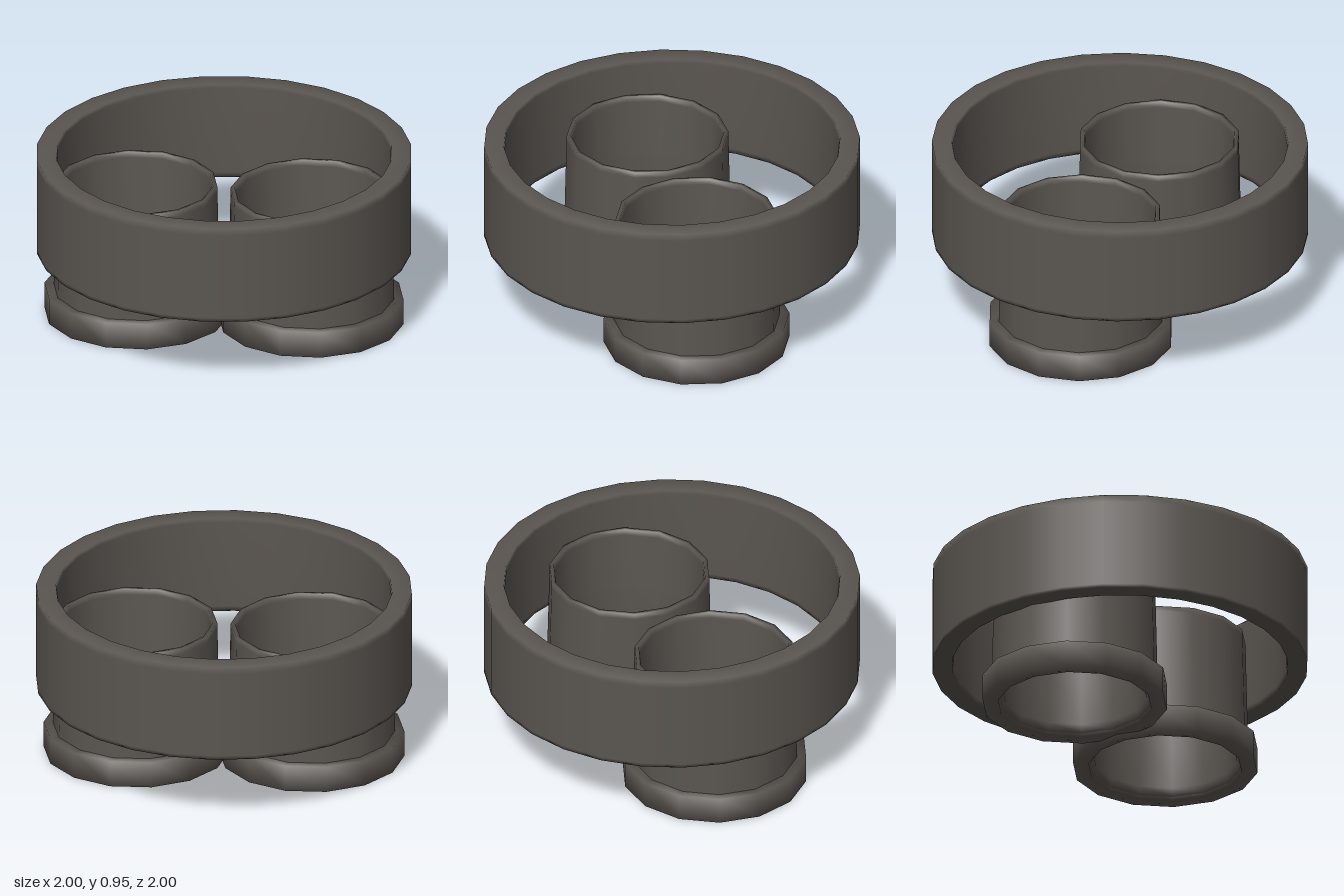
import * as THREE from 'three';

const material = new THREE.MeshStandardMaterial({ color: 0x5a5550 });

// Revolves a closed profile of [radius, height] pairs, listed counter-clockwise
// (up the outside, down the inside), with a corner of the polygon on the x axis.
function turned(name, profile, sides) {
  const points = profile.map(([r, y]) => new THREE.Vector2(r, y));
  points.push(points[0].clone());
  const mesh = new THREE.Mesh(new THREE.LatheGeometry(points, sides, Math.PI / 2), material);
  mesh.name = name;
  return mesh;
}

export function createModel() {
  const model = new THREE.Group();
  model.name = 'ringOnTwoTubes';

  // Wide band; the extra wall points keep the soft shading near its edges
  model.add(turned('outerRing', [
    [0.89, 0.68], [0.89, 0.44], [0.895, 0.41],
    [1, 0.41], [1, 0.43], [1, 0.91], [1, 0.95],
    [0.895, 0.95], [0.89, 0.93],
  ], 28));

  // Pair of open tubes, each standing in a thick collar
  for (const side of [-1, 1]) {
    const unit = new THREE.Group();
    unit.name = side < 0 ? 'rightTube' : 'leftTube';
    unit.position.x = side * 0.466;

    unit.add(turned('tube', [
      [0.39, 0.4], [0.385, 0.06], [0.41, 0.02],
      [0.445, 0.02], [0.445, 0.14], [0.431, 0.72], [0.43, 0.75],
      [0.408, 0.75], [0.404, 0.72],
    ], 14));

    unit.add(turned('collar', [
      [0.41, 0.07], [0.41, 0], [0.494, 0], [0.494, 0.145], [0.41, 0.145],
    ], 14));

    model.add(unit);
  }
  return model;
}
